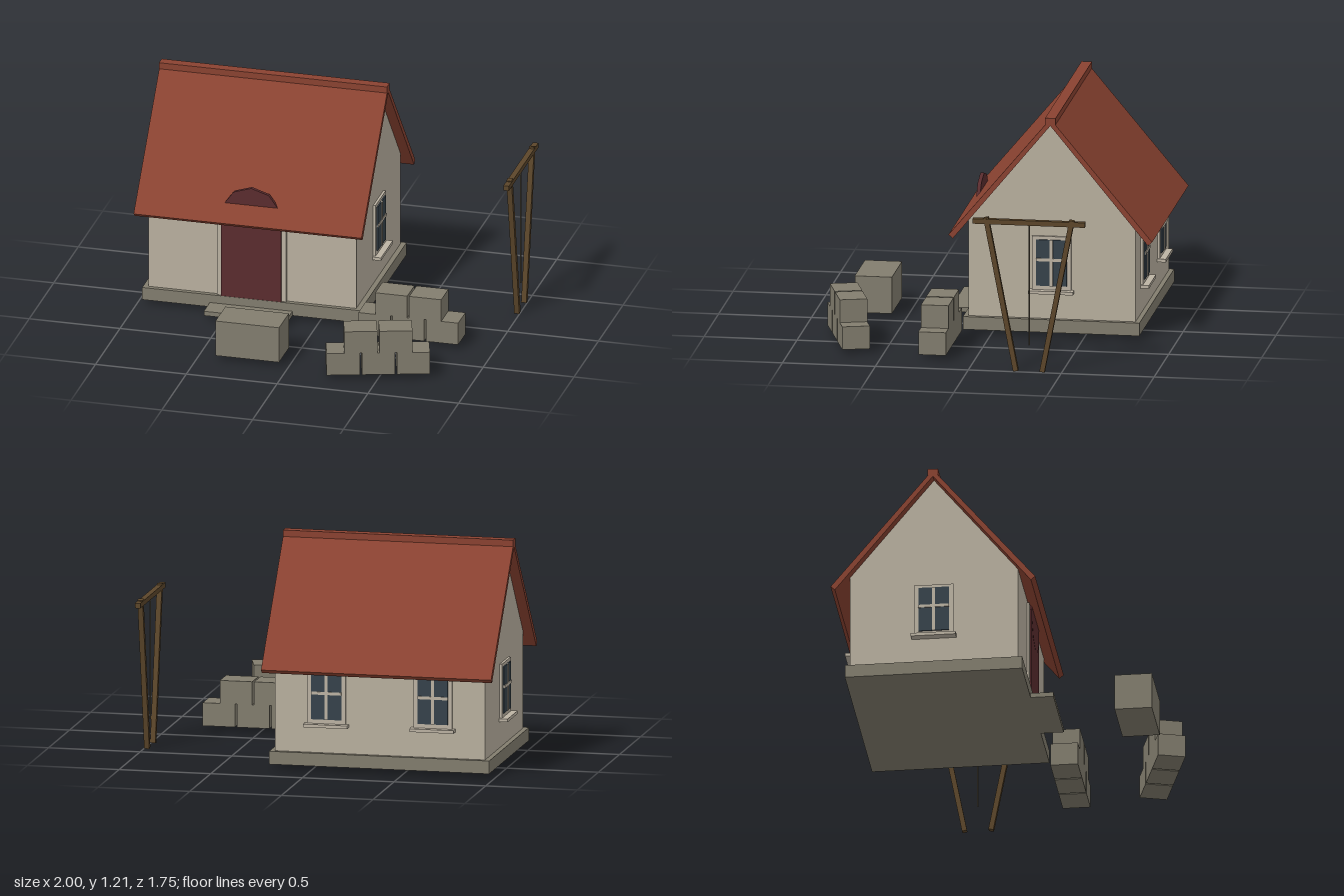
import * as THREE from 'three';

const mat = (name, color) => {
  const m = new THREE.MeshStandardMaterial({ color });
  m.name = name;
  return m;
};

export function createModel() {
  const root = new THREE.Group();
  root.name = 'cottageYard';
  const plaster = mat('plaster', 0xb9b09f);
  const trim = mat('trim', 0xbcb3a3);
  const roofTile = mat('roofTile', 0x8a4231);
  const stone = mat('stone', 0x827d6e);
  const doorRed = mat('doorRed', 0x5a2c2e);
  const glass = mat('glass', 0x36424b);
  const wood = mat('wood', 0x5c462a);
  const rope = mat('rope', 0x5f5848);

  const add = (parent, name, geo, material, x = 0, y = 0, z = 0) => {
    const m = new THREE.Mesh(geo, material);
    m.name = name;
    m.position.set(x, y, z);
    parent.add(m);
    return m;
  };
  // box given by its minimum and maximum on each axis
  const span = (parent, name, material, [x0, x1], [y0, y1], [z0, z1]) =>
    add(parent, name, new THREE.BoxGeometry(x1 - x0, y1 - y0, z1 - z0), material,
      (x0 + x1) / 2, (y0 + y1) / 2, (z0 + z1) / 2);
  // profile in (z, y), extruded along x and centred
  const extrudeX = (pts, length) => {
    const g = new THREE.ExtrudeGeometry(new THREE.Shape(pts.map(p => new THREE.Vector2(...p))),
      { depth: length, bevelEnabled: false });
    return g.translate(0, 0, -length / 2).rotateY(Math.PI / 2);
  };

  // House, centred on its ridge line
  const house = new THREE.Group();
  house.name = 'house';
  house.position.set(-0.3725, 0, -0.325);
  root.add(house);

  span(house, 'plinth', stone, [-0.6, 0.6], [0.025, 0.095], [-0.475, 0.475]);
  add(house, 'walls', extrudeX(
    [[-0.45, 0.095], [0.45, 0.095], [0.45, 0.625], [0, 1.17], [-0.45, 0.625]], 1.145), plaster);
  add(house, 'roof', extrudeX(
    [[0, 1.165], [0.525, 0.528], [0.548, 0.548], [0, 1.203], [-0.548, 0.548], [-0.525, 0.528]], 1.255), roofTile);
  span(house, 'ridgeCap', roofTile, [-0.6275, 0.6275], [1.172, 1.207], [-0.028, 0.028]);

  // Door with a round head poking through the roof
  const door = new THREE.Group();
  door.name = 'door';
  house.add(door);
  span(door, 'doorFrame', trim, [-0.19, 0.19], [0.095, 0.6], [0.44, 0.463]);
  span(door, 'doorPanel', doorRed, [-0.165, 0.165], [0.095, 0.57], [0.44, 0.473]);
  const head = new THREE.CylinderGeometry(0.165, 0.165, 0.02, 10).rotateX(-Math.PI / 2);
  add(door, 'doorHead', head, doorRed, 0, 0.57, 0.464);
  span(house, 'doorStep', stone, [-0.2275, 0.2275], [0.025, 0.05], [0.47, 0.597]);

  // Windows face +z locally, then turn to their wall
  const addWindow = (x, z, turn) => {
    const w = new THREE.Group();
    w.name = 'window';
    w.position.set(x, 0.405, z);
    w.rotation.y = turn;
    house.add(w);
    span(w, 'windowFrame', trim, [-0.105, 0.105], [-0.15, 0.143], [-0.01, 0.013]);
    span(w, 'pane', glass, [-0.0825, 0.0825], [-0.127, 0.125], [0, 0.02]);
    span(w, 'verticalBar', trim, [-0.008, 0.008], [-0.127, 0.125], [0, 0.024]);
    span(w, 'crossBar', trim, [-0.0825, 0.0825], [0.008, 0.024], [0, 0.024]);
    span(w, 'sill', trim, [-0.12, 0.12], [-0.167, -0.15], [-0.01, 0.047]);
  };
  addWindow(0.5725, 0, Math.PI / 2);
  addWindow(-0.5725, 0, -Math.PI / 2);
  for (const x of [-0.29, 0.29]) addWindow(x, -0.45, Math.PI);

  // Low stone walls: three blocks below, two above
  const addStoneWall = (x, z, turn) => {
    const g = new THREE.Group();
    g.name = 'stoneWall';
    g.position.set(x, 0, z);
    g.rotation.y = turn;
    root.add(g);
    const block = new THREE.BoxGeometry(0.176, 0.125, 0.148);
    for (const i of [-1, 0, 1]) add(g, 'lowerBlock', block, stone, i * 0.187, 0.0875, 0);
    for (const i of [-0.5, 0.5]) add(g, 'upperBlock', block, stone, i * 0.187, 0.2125, 0);
  };
  addStoneWall(0.533, 0.225, 0);
  addStoneWall(0.481, 0.725, 0.3);
  span(root, 'stoneBlock', stone, [-0.4, -0.05], [0.025, 0.225], [0.575, 0.775]);

  // Leaning wooden frame with a hanging rope
  const frame = new THREE.Group();
  frame.name = 'wellFrame';
  frame.position.set(0.985, 0, -0.325);
  root.add(frame);
  span(frame, 'beam', wood, [-0.015, 0.015], [0.803, 0.83], [-0.302, 0.302]);
  for (const s of [-1, 1]) {
    const leg = add(frame, 'leg', new THREE.BoxGeometry(0.028, 0.85, 0.027), wood, 0, 0.42, s * 0.151);
    leg.rotation.x = s * 0.19;
  }
  add(frame, 'rope', new THREE.CylinderGeometry(0.004, 0.004, 0.66, 6), rope, 0, 0.475, 0);
  return root;
}
